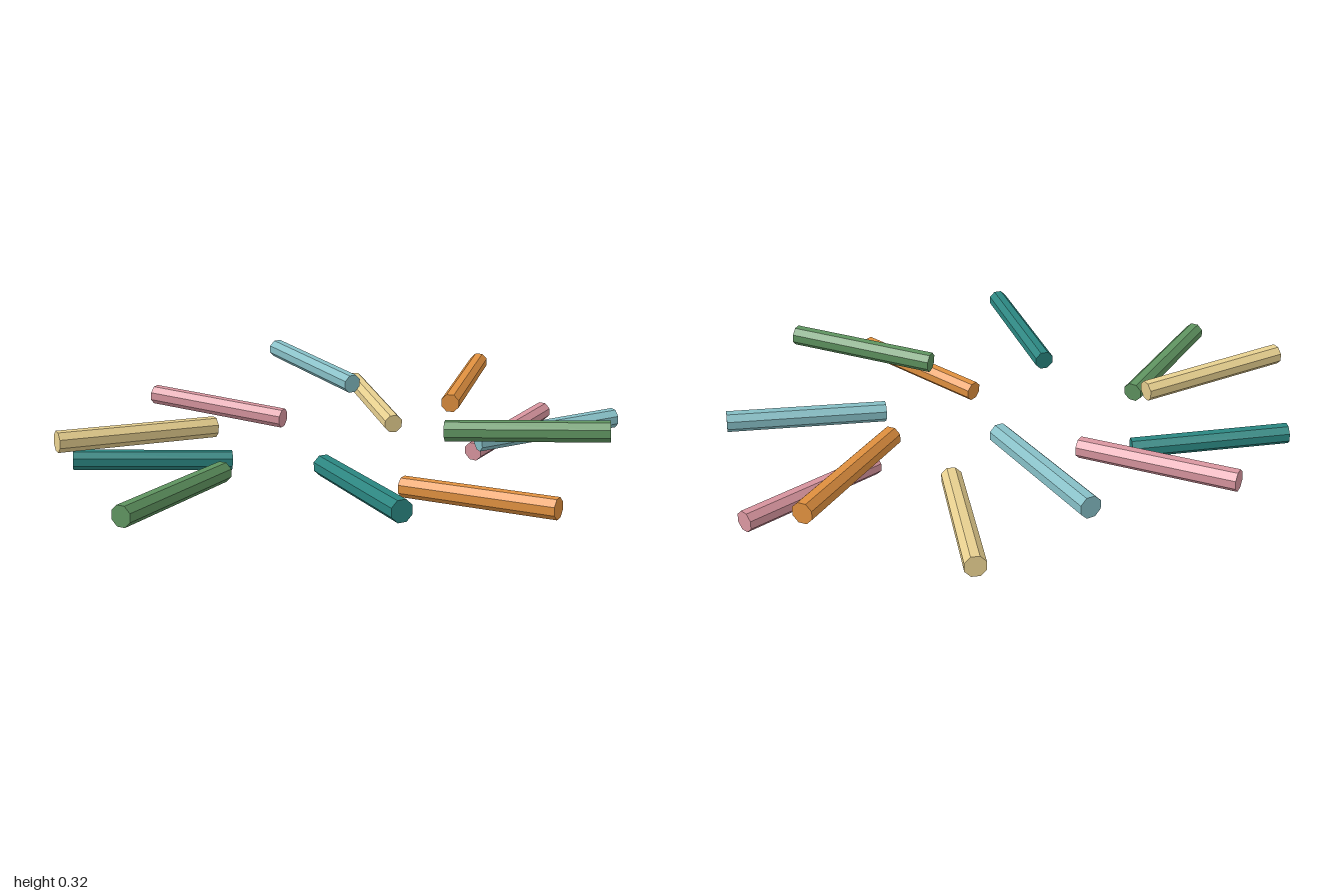
import * as THREE from 'three';

const RADIUS = 0.036;
const SIDES = 8;

// Colours repeat in this order up the spiral
const COLORS = [
  ['pink', 0xd8959f], ['teal', 0x2a8580], ['orange', 0xe0903f],
  ['tan', 0xe6cf8f], ['green', 0x5f9460], ['blue', 0x86bfc6],
];

// Inner and outer end of each stick in plan: x, z, x, z (lowest first)
const STICKS = [
  [0.505, 0.005, 0.98, -0.255],
  [-0.36, -0.215, -0.895, -0.35],
  [0.045, 0.335, 0.345, 0.79],
  [0.305, -0.255, 0.39, -0.795],
  [-0.485, 0.06, -0.91, 0.405],
  [0.42, 0.18, 0.965, 0.225],
  [-0.125, -0.31, -0.495, -0.715],
  [-0.225, 0.3, -0.22, 0.845],
  [0.465, -0.105, 0.83, -0.515],
  [-0.45, -0.12, -0.995, -0.065],
  [0.215, 0.305, 0.645, 0.63],
  [0.155, -0.305, 0.06, -0.845],
];

// Faceted stick between two points, with a flat facet on top
function makeStick(a, b, material) {
  const geometry = new THREE.CylinderGeometry(RADIUS, RADIUS, a.distanceTo(b), SIDES);
  geometry.rotateY(Math.PI / SIDES);
  geometry.rotateX(Math.PI / 2);
  const stick = new THREE.Mesh(geometry, material);
  stick.position.copy(a).add(b).multiplyScalar(0.5);
  stick.lookAt(b);
  return stick;
}

export function createModel() {
  const model = new THREE.Group();
  model.name = 'scatteredSticks';
  const materials = COLORS.map(([, color]) =>
    new THREE.MeshStandardMaterial({ color, flatShading: true }));

  // Each stick lies a step higher than the last and rises slightly outwards
  STICKS.forEach(([x0, z0, x1, z1], i) => {
    const y = 0.04 + i * 0.0203;
    const stick = makeStick(
      new THREE.Vector3(x0, y, z0),
      new THREE.Vector3(x1, y + 0.033, z1),
      materials[i % COLORS.length]);
    stick.name = `${COLORS[i % COLORS.length][0]}Stick${Math.floor(i / COLORS.length) + 1}`;
    model.add(stick);
  });
  return model;
}
